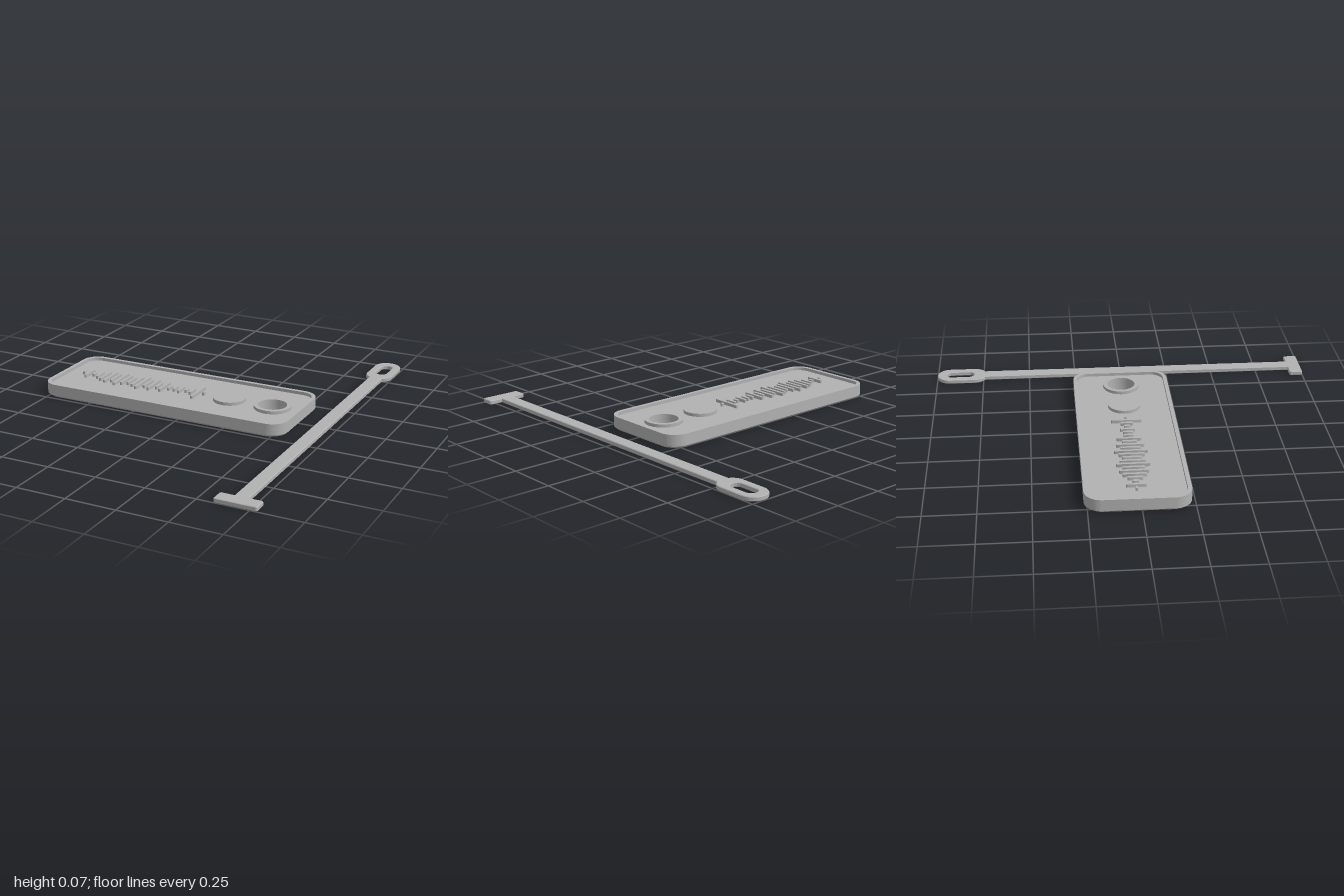
import * as THREE from 'three';
import { toCreasedNormals } from 'three/addons/utils/BufferGeometryUtils.js';

const grey = new THREE.MeshStandardMaterial({ color: 0xb2b2b2 });
grey.name = 'grey plastic';

const BODY = { x: -0.113, z: -0.015, w: 1.345, d: 0.5, r: 0.085 };
const HOLE = { x: 0.405, r: 0.072 };
const FLOOR = 0.052, TOP = 0.068;

// Rounded rectangle drawn on the ground plan (shape y = -z)
function roundRect(cx, cz, w, d, r, Type = THREE.Shape) {
  const x = cx - w / 2, y = -cz - d / 2, s = new Type();
  s.moveTo(x + r, y);
  s.lineTo(x + w - r, y);
  s.absarc(x + w - r, y + r, r, -Math.PI / 2, 0);
  s.lineTo(x + w, y + d - r);
  s.absarc(x + w - r, y + d - r, r, 0, Math.PI / 2);
  s.lineTo(x + r, y + d);
  s.absarc(x + r, y + d - r, r, Math.PI / 2, Math.PI);
  s.lineTo(x, y + r);
  s.absarc(x + r, y + r, r, Math.PI, Math.PI * 1.5);
  return s;
}

function circle(cx, cz, r, Type = THREE.Shape) {
  const s = new Type();
  s.absarc(cx, -cz, r, 0, Math.PI * 2);
  return s;
}

// Ground-plan shape raised from y0 to y1
function slab(shape, y0, y1, bevel = 0) {
  const g = new THREE.ExtrudeGeometry(shape, {
    depth: y1 - y0 - 2 * bevel, curveSegments: 16, bevelEnabled: bevel > 0,
    bevelThickness: bevel, bevelSize: bevel, bevelOffset: -bevel, bevelSegments: 1,
  });
  g.rotateX(-Math.PI / 2);
  g.translate(0, y0 + bevel, 0);
  return g;
}

function add(parent, name, geometry) {
  const mesh = new THREE.Mesh(toCreasedNormals(geometry, 0.5), grey);
  mesh.name = name;
  parent.add(mesh);
}

function createTag() {
  const tag = new THREE.Group();
  tag.name = 'tag';
  const outline = () => roundRect(BODY.x, BODY.z, BODY.w, BODY.d, BODY.r);
  const hole = (r = HOLE.r) => circle(HOLE.x, BODY.z, r, THREE.Path);

  // Base plate, drawn in along its lower edge to make a chamfer
  const chamfer = 0.01;
  const bottomShape = outline();
  bottomShape.holes.push(hole());
  const bottom = slab(bottomShape, 0, chamfer);
  const p = bottom.attributes.position;
  for (let i = 0; i < p.count; i++) {
    const x = p.getX(i), z = p.getZ(i);
    const onHole = Math.hypot(x - HOLE.x, z - BODY.z) < HOLE.r + 0.01;
    if (p.getY(i) > 0.001 || onHole) continue;
    p.setX(i, BODY.x + (x - BODY.x) * (1 - 2 * chamfer / BODY.w));
    p.setZ(i, BODY.z + (z - BODY.z) * (1 - 2 * chamfer / BODY.d));
  }
  bottom.computeVertexNormals();
  add(tag, 'chamferedBase', bottom);

  const plate = outline();
  plate.holes.push(hole());
  add(tag, 'plate', slab(plate, chamfer, FLOOR));

  // Raised border, hole collar and button
  const rim = outline();
  rim.holes.push(roundRect(BODY.x, BODY.z, BODY.w - 0.04, BODY.d - 0.04, BODY.r - 0.02, THREE.Path));
  add(tag, 'rim', slab(rim, FLOOR, TOP));
  const collar = circle(HOLE.x, BODY.z, 0.094);
  collar.holes.push(hole());
  add(tag, 'holeCollar', slab(collar, FLOOR, TOP));
  add(tag, 'button', slab(circle(0.17, BODY.z, 0.083), FLOOR, TOP));

  // Sound wave of raised bars (half lengths in hundredths)
  const bars = [0.7, 4.8, 1.6, 3.7, 5.8, 7.1, 5.3, 8.2, 6.3, 4.8, 6.3, 8.2,
    5, 6.9, 3.7, 6.1, 2.6, 2.6, 3.7, 1.6, 3.2, 7.7, 0.7];
  bars.forEach((h, i) => {
    const x = -0.68 + i * 0.032;
    add(tag, 'waveBar', slab(roundRect(x, BODY.z - 0.002, 0.015, h / 50, 0.005), FLOOR, TOP));
  });
  return tag;
}

// Flat strap in one outline: T-shaped end, band and slotted loop
function createStrap() {
  const strap = new THREE.Group();
  strap.name = 'strap';
  const c = 0.682, b = 0.034, l = 0.069, t = 0.103, e = 0.006;
  const s = new THREE.Shape();
  s.moveTo(c - t + e, -1);
  s.lineTo(c + t - e, -1);
  s.lineTo(c + t, -1 + e);
  s.lineTo(c + t, -0.93 - e);
  s.lineTo(c + t - e, -0.93);
  s.lineTo(c + b, -0.93);
  s.lineTo(c + b, 0.742);
  s.quadraticCurveTo(c + l, 0.76, c + l, 0.805);
  s.lineTo(c + l, 1 - l);
  s.absarc(c, 1 - l, l, 0, Math.PI);
  s.lineTo(c - l, 0.805);
  s.quadraticCurveTo(c - l, 0.76, c - b, 0.742);
  s.lineTo(c - b, -0.93);
  s.lineTo(c - t + e, -0.93);
  s.lineTo(c - t, -0.93 - e);
  s.lineTo(c - t, -1 + e);
  s.closePath();
  s.holes.push(roundRect(c, -0.876, 0.06, 0.148, 0.029, THREE.Path));
  add(strap, 'strapBand', slab(s, 0, 0.022, 0.003));
  return strap;
}

export function createModel() {
  const model = new THREE.Group();
  model.name = 'tagWithStrap';
  model.add(createTag(), createStrap());
  return model;
}
